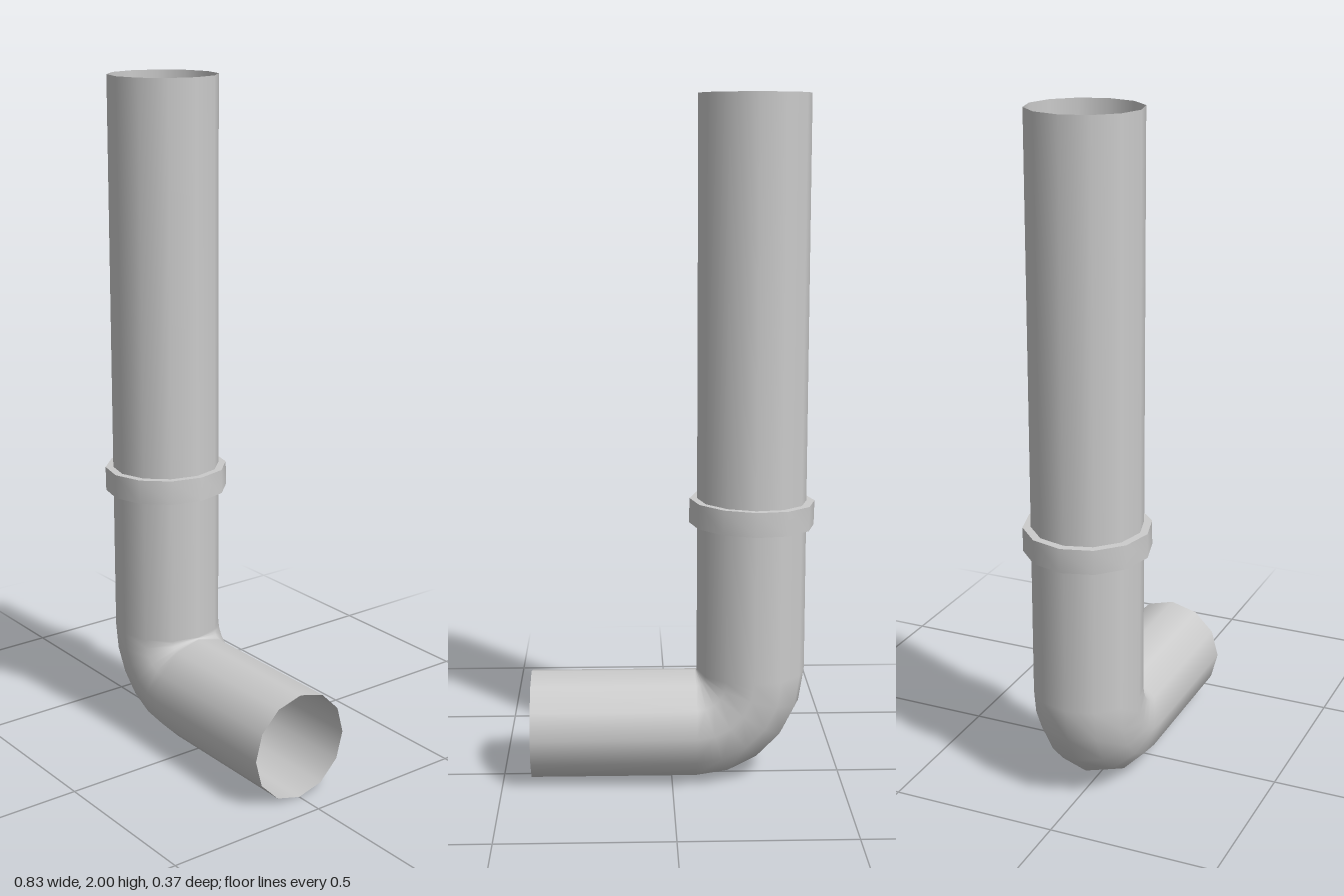
import * as THREE from 'three';
import { toCreasedNormals } from 'three/addons/utils/BufferGeometryUtils.js';

const SIDES = 12;
const R = 0.16;              // pipe radius
const BEND = 0.165;          // bend radius of the elbow's centre line
const AXIS_X = -0.235;       // axis of the upright pipe
const TOP = 2, END_X = 0.415;

export function createModel() {
  const model = new THREE.Group();
  const material = new THREE.MeshStandardMaterial({ color: 0xcccccc, side: THREE.DoubleSide });

  const add = (name, geometry, x, y) => {
    const mesh = new THREE.Mesh(geometry, material);
    mesh.name = name;
    mesh.position.set(x, y, 0);
    model.add(mesh);
    return mesh;
  };
  // Open-ended straight length of pipe
  const pipe = (length) => new THREE.CylinderGeometry(R, R, length, SIDES, 1, true);

  const bendX = AXIS_X + BEND, bendY = R + BEND;

  // Upright pipe
  add('uprightPipe', pipe(TOP - bendY), AXIS_X, (TOP + bendY) / 2);

  // Quarter-turn elbow
  add('elbow', new THREE.TorusGeometry(BEND, R, SIDES, 5, Math.PI / 2), bendX, bendY)
    .rotation.z = Math.PI;

  // Horizontal outlet
  add('outletPipe', pipe(END_X - bendX), (END_X + bendX) / 2, R).rotation.z = Math.PI / 2;

  // Slightly tilted collar around the upright pipe
  const h = 0.036, outer = 0.183, inner = R - 0.002;
  const profile = [[inner, -h], [outer, -h], [outer, h], [inner, h]]
    .map(([x, y]) => new THREE.Vector2(x, y));
  const collar = toCreasedNormals(new THREE.LatheGeometry(profile, SIDES), 0.8);
  add('collar', collar, AXIS_X, 0.803).rotation.z = 0.025;

  return model;
}
